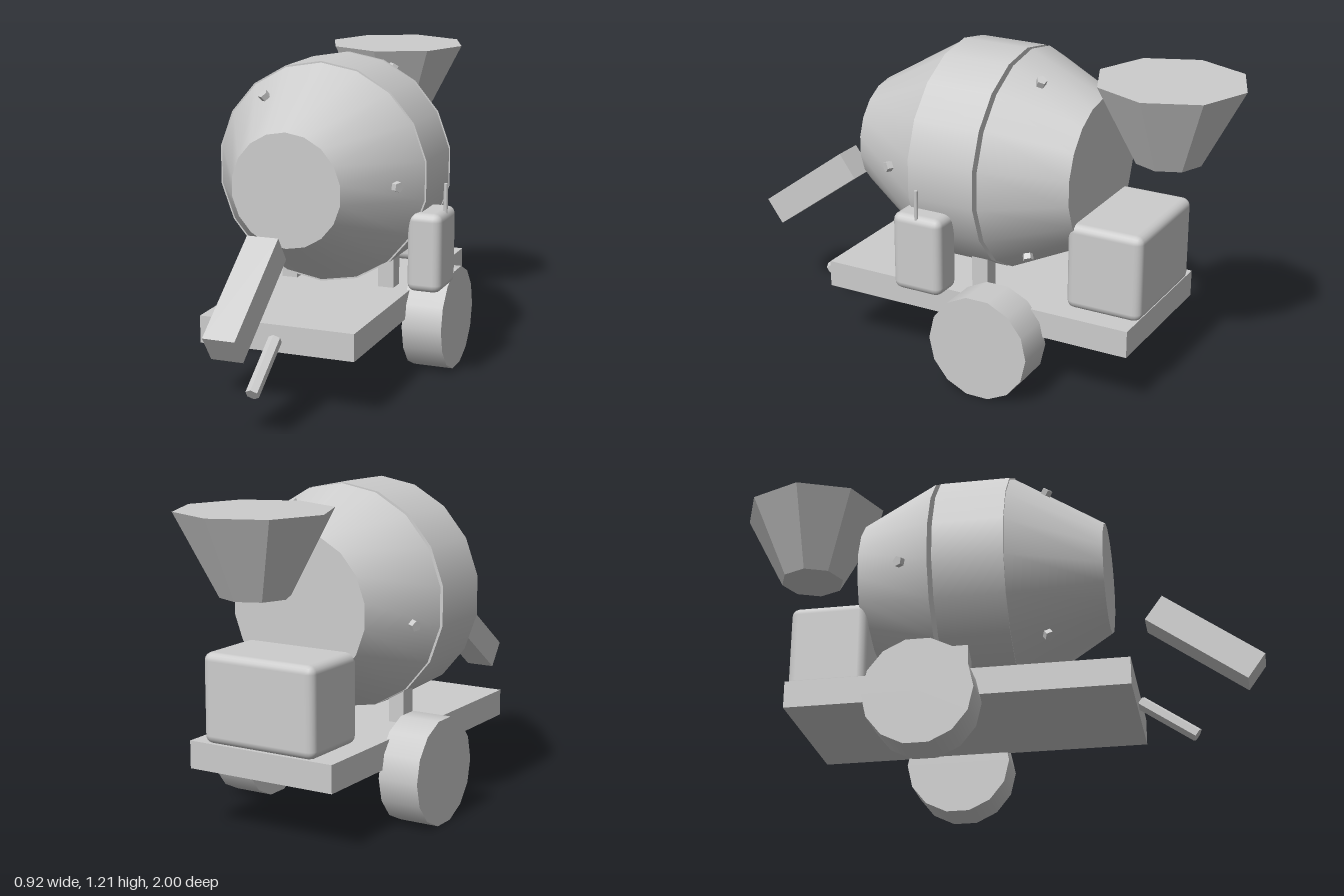
import * as THREE from 'three';
import { RoundedBoxGeometry } from 'three/addons/geometries/RoundedBoxGeometry.js';

const CX = -0.0185; // centre line of the trailer
const DRUM_Y = 0.79; // height of the drum axis

export function createModel() {
  const model = new THREE.Group();
  model.name = 'concreteMixer';
  const grey = new THREE.MeshStandardMaterial({ color: 0xcccccc });
  grey.name = 'light grey';
  const greyFlat = grey.clone();
  greyFlat.flatShading = true;

  const add = (name, geometry, x, y, z, material = grey) => {
    const mesh = new THREE.Mesh(geometry, material);
    mesh.name = name;
    mesh.position.set(x, y, z);
    model.add(mesh);
    return mesh;
  };

  // Drum section along z, closed at both ends
  const drumSection = (name, rFront, rBack, zFront, zBack) => {
    const g = new THREE.CylinderGeometry(rFront, rBack, zFront - zBack, 18);
    g.rotateX(Math.PI / 2);
    add(name, g, CX, DRUM_Y, (zFront + zBack) / 2);
  };
  drumSection('drumFrontCone', 0.21, 0.41, 0.44, 0.105);
  drumSection('drumBody', 0.416, 0.416, 0.105, -0.158);
  drumSection('drumRearCone', 0.415, 0.277, -0.176, -0.468);

  // Three bolts around the drum at each of three stations
  const boltRing = (z, radius, startDeg, slope) => {
    for (let i = 0; i < 3; i++) {
      const a = THREE.MathUtils.degToRad(startDeg + i * 120);
      const bolt = add('drumBolt', new THREE.CylinderGeometry(0.02, 0.02, 0.034, 5),
        CX + Math.cos(a) * radius, DRUM_Y + Math.sin(a) * radius, z, greyFlat);
      const out = new THREE.Vector3(Math.cos(a), Math.sin(a), slope).normalize();
      bolt.quaternion.setFromUnitVectors(new THREE.Vector3(0, 1, 0), out);
    }
  };
  boltRing(0.228, 0.338, 0, 0.6);
  boltRing(-0.167, 0.32, 60, 0);
  boltRing(-0.285, 0.368, 68, -0.47);

  // Chassis and drum supports
  add('frame', new THREE.BoxGeometry(0.594, 0.102, 1.252), CX, 0.276, -0.091);
  for (const s of [-1, 1]) {
    add('drumSupport', new THREE.BoxGeometry(0.062, 0.125, 0.065), CX + s * 0.199, 0.388, -0.088);
    const wheel = new THREE.CylinderGeometry(0.199, 0.199, 0.156, 14);
    wheel.rotateZ(Math.PI / 2);
    add(s > 0 ? 'leftWheel' : 'rightWheel', wheel, CX + s * 0.364, 0.195, -0.193);
  }

  // Engine housing at the back
  add('engineHousing', new RoundedBoxGeometry(0.46, 0.328, 0.292, 2, 0.03), CX, 0.493, -0.585);

  // Control box with lever
  add('controlBox', new RoundedBoxGeometry(0.131, 0.297, 0.198, 2, 0.03), 0.392, 0.526, 0.04);
  add('controlLever', new THREE.CylinderGeometry(0.008, 0.008, 0.15, 6), 0.445, 0.698, 0.04);

  // Loading hopper
  add('hopper', new THREE.CylinderGeometry(0.276, 0.123, 0.295, 8), CX, 1.0225, -0.724, greyFlat);

  // Discharge chute
  add('chute', new THREE.BoxGeometry(0.117, 0.113, 0.446), CX, 0.4945, 0.786).rotation.x = 0.628;

  // Tow bar
  add('towBar', new THREE.CylinderGeometry(0.0255, 0.0255, 0.244, 6), CX, 0.204, 0.64, greyFlat)
    .rotation.x = Math.PI / 2 + 0.61;

  return model;
}
